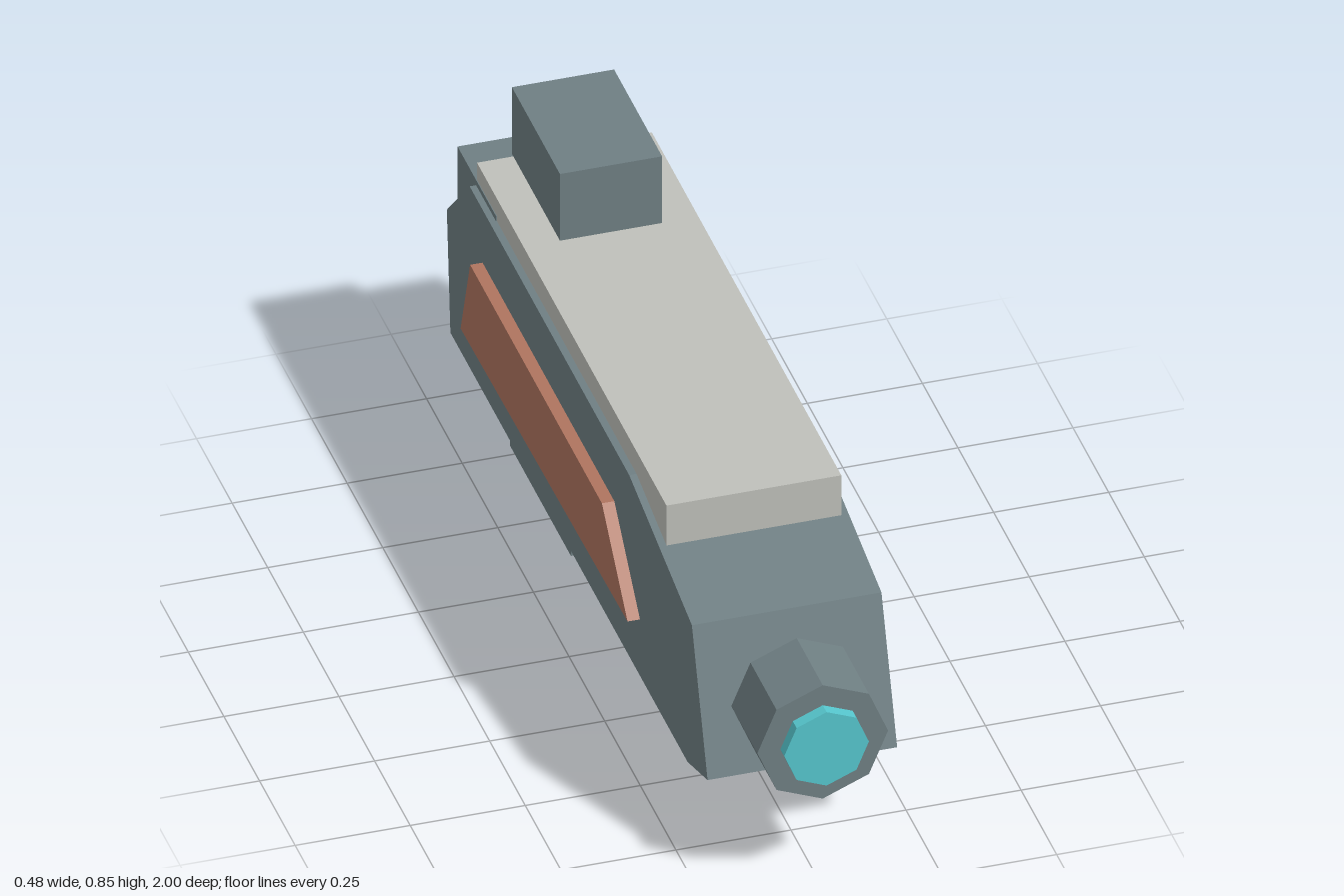
import * as THREE from 'three';

const material = (name, color) => {
  const m = new THREE.MeshStandardMaterial({ color });
  m.name = name;
  return m;
};

export function createModel() {
  const group = new THREE.Group();
  const steel = material('steel grey', 0x6f7f83);
  const pale = material('pale grey', 0xbfc0ba);
  const rust = material('rust', 0xaf745f);
  const cyan = material('cyan', 0x56c6cd);

  const add = (name, geometry, mat) => {
    const mesh = new THREE.Mesh(geometry, mat);
    mesh.name = name;
    group.add(mesh);
    return mesh;
  };

  // Box centred on x, given by its half width and its y and z ranges
  const box = (name, mat, halfWidth, y0, y1, z0, z1) =>
    add(name, new THREE.BoxGeometry(halfWidth * 2, y1 - y0, z1 - z0), mat)
      .position.set(0, (y0 + y1) / 2, (z0 + z1) / 2);

  // Side profile of [z, y] points, extruded between x0 and x1
  const slab = (name, mat, points, x0, x1) => {
    const shape = new THREE.Shape(points.map(([z, y]) => new THREE.Vector2(-z, y)));
    const geometry = new THREE.ExtrudeGeometry(shape, { depth: x1 - x0, bevelEnabled: false });
    geometry.rotateY(Math.PI / 2).translate(x0, 0, 0);
    add(name, geometry, mat);
  };

  // Octagonal cylinder along z with a corner at the top
  const octagon = (name, mat, radius, z0, z1) => {
    const geometry = new THREE.CylinderGeometry(radius, radius, z1 - z0, 8).toNonIndexed();
    geometry.rotateX(Math.PI / 2).translate(0, 0.365, (z0 + z1) / 2);
    geometry.computeVertexNormals();
    add(name, geometry, mat);
  };

  // Main hull with sloped nose and chamfered tail
  slab('body', steel, [
    [0.83, 0.218], [0.72, 0.535], [0.28, 0.627], [-0.84, 0.627],
    [-1, 0.465], [-0.975, 0.173], [0.69, 0.173],
  ], -0.206, 0.206);

  // Blocks above and below the hull
  box('topPlate', pale, 0.19, 0.578, 0.683, -0.84, 0.49);
  box('rearBlock', steel, 0.192, 0.45, 0.64, -0.97, -0.7);
  box('sightBlock', steel, 0.111, 0.683, 0.85, -0.85, -0.513);
  box('lowerMount', steel, 0.136, 0, 0.18, -0.783, -0.355);

  // Coloured panels on both sides
  const panel = [[0.375, 0.328], [0.195, 0.508], [-0.73, 0.508], [-0.797, 0.305]];
  slab('leftPanel', rust, panel, 0.212, 0.239);
  slab('rightPanel', rust, panel, -0.239, -0.212);

  // Muzzle and glowing lens
  octagon('muzzle', steel, 0.142, 0.79, 0.973);
  octagon('lens', cyan, 0.092, 0.95, 1);

  return group;
}
